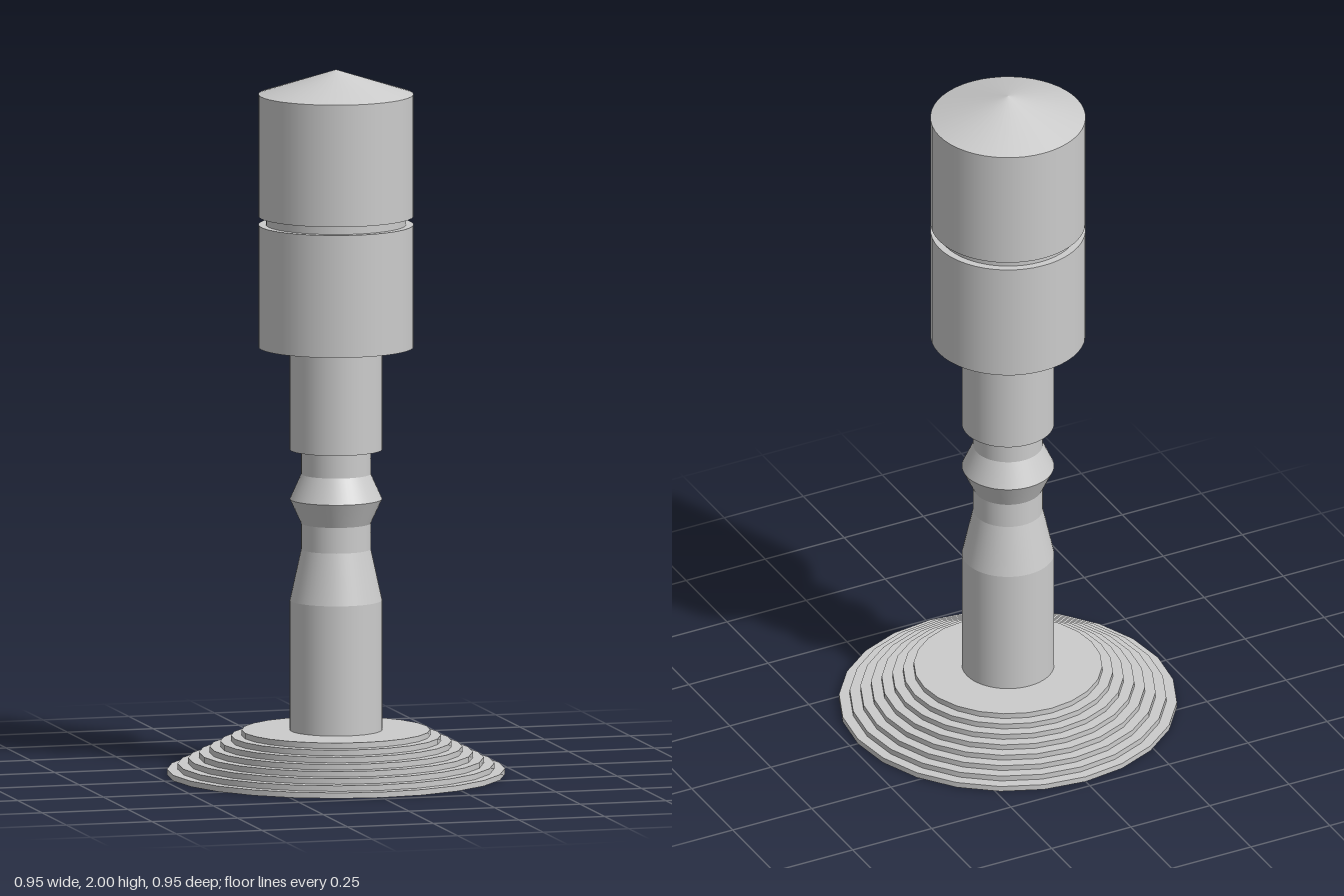
import * as THREE from 'three';
import { mergeGeometries } from 'three/addons/utils/BufferGeometryUtils.js';

const material = new THREE.MeshStandardMaterial({ color: 0xcccccc });

// Lathe each profile segment on its own: smooth around, sharp between segments
function turned(name, profile, sides) {
  const bands = [];
  for (let i = 0; i < profile.length - 1; i++) {
    const pair = [profile[i], profile[i + 1]].map(([r, y]) => new THREE.Vector2(r, y));
    bands.push(new THREE.LatheGeometry(pair, sides));
  }
  const mesh = new THREE.Mesh(mergeGeometries(bands), material);
  mesh.name = name;
  return mesh;
}

export function createModel() {
  const group = new THREE.Group();
  group.name = 'turnedPost';

  // Stepped round base with a central hole open underneath
  const steps = 8, baseTop = 0.127, hole = 0.13;
  const base = [[hole, 0]];
  for (let i = 0; i < steps; i++) {
    const r = 0.475 - i * 0.03;
    base.push([r, baseTop * i / steps], [r, baseTop * (i + 1) / steps]);
  }
  base.push([hole, baseTop], [hole, 0]);
  group.add(turned('steppedBase', base, 24));

  // Stem with a tapered shoulder, a narrow neck and a pointed ring
  group.add(turned('stem', [
    [0, baseTop], [0.13, baseTop], [0.13, 0.495], [0.098, 0.64], [0.098, 0.713],
    [0.13, 0.782], [0.098, 0.853], [0.098, 0.922],
  ], 48));

  // Plain collar under the head
  group.add(turned('collar', [[0, 0.922], [0.13, 0.922], [0.13, 1.213]], 48));

  // Head: two drums separated by a groove, with a shallow conical cap
  group.add(turned('head', [
    [0, 1.213], [0.218, 1.213], [0.218, 1.56], [0.197, 1.56],
    [0.197, 1.584], [0.218, 1.584], [0.218, 1.93], [0, 2],
  ], 48));

  return group;
}
